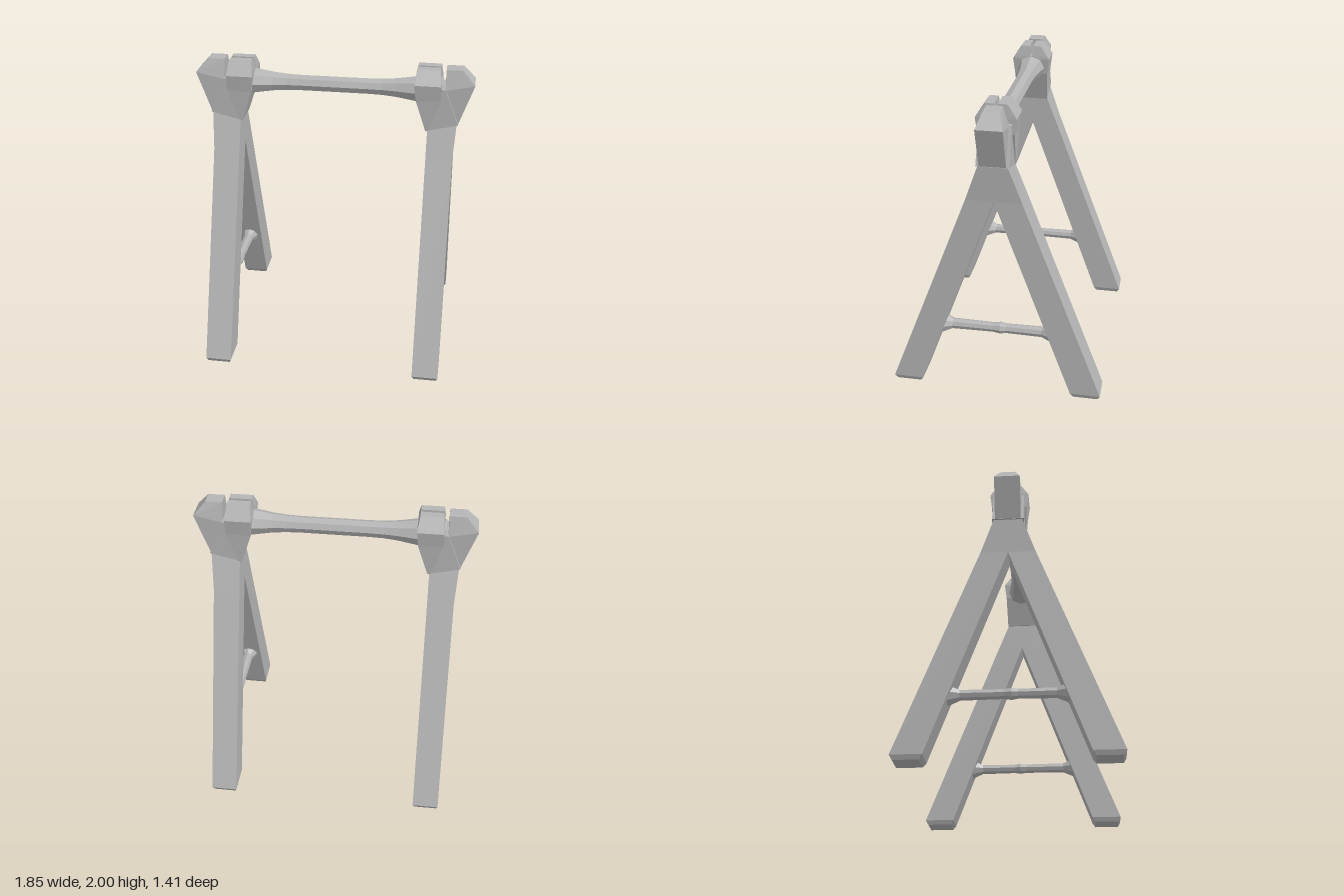
import * as THREE from 'three';

const stone = new THREE.MeshStandardMaterial({ color: 0xb4b4b4 });
stone.name = 'plain grey';

// Closed solid through four-cornered sections [xIn, yIn, xOut, yOut, zBack, zFront], bottom to top
function loft(sections) {
  const pos = [];
  const rings = sections.map(([x0, y0, x1, y1, z0, z1]) => [
    [x0, y0, z1], [x1, y1, z1], [x1, y1, z0], [x0, y0, z0],
  ]);
  const quad = (a, b, c, d) => [a, b, c, a, c, d].forEach((p) => pos.push(...p));
  for (let r = 0; r + 1 < rings.length; r++) {
    for (let i = 0; i < 4; i++) {
      const j = (i + 1) % 4;
      quad(rings[r][i], rings[r][j], rings[r + 1][j], rings[r + 1][i]);
    }
  }
  const [a, b, c, d] = rings[0];
  quad(d, c, b, a);
  quad(...rings[rings.length - 1]);
  const g = new THREE.BufferGeometry();
  g.setAttribute('position', new THREE.Float32BufferAttribute(pos, 3));
  g.computeVertexNormals();
  return g;
}

// Faceted turned bar, profile given as [radius, distance along axis]
function turnedBar(profile) {
  const pts = profile.map(([r, t]) => new THREE.Vector2(r, t));
  const g = new THREE.LatheGeometry(pts, 8).toNonIndexed();
  g.computeVertexNormals();
  return g;
}

function add(parent, name, geometry) {
  const m = new THREE.Mesh(geometry, stone);
  m.name = name;
  parent.add(m);
  return m;
}

// One A-shaped end on the +x side
function makeTrestle() {
  const t = new THREE.Group();

  // Splayed legs with bevelled feet
  const leg = [
    [0.642, 0.0, 0.793, 0.0, 0.525, 0.688],
    [0.63, 0.03, 0.805, 0.03, 0.505, 0.705],
    [0.63, 1.4, 0.805, 1.4, 0, 0.18],
    [0.63, 1.63, 0.822, 1.65, -0.085, 0.09],
  ];
  add(t, 'frontLeg', loft(leg));
  add(t, 'backLeg', loft(leg.map(([a, b, c, d, z0, z1]) => [a, b, c, d, -z1, -z0])));

  // Thin stretcher between the legs
  const s = add(t, 'stretcher', turnedBar([
    [0.07, -0.375], [0.058, -0.35], [0.036, -0.3], [0.033, -0.06], [0.04, -0.02],
    [0.033, 0.03], [0.036, 0.3], [0.058, 0.35], [0.07, 0.375],
  ]));
  s.rotation.x = Math.PI / 2;
  s.position.set(0.717, 0.437, 0);

  // Head: central wedge, outer prong and inner prong
  add(t, 'headWedge', loft([
    [0.62, 1.59, 0.83, 1.64, -0.105, 0.105],
    [0.7, 1.88, 0.738, 1.88, -0.1, 0.1],
  ]));
  add(t, 'outerProng', loft([
    [0.64, 1.595, 0.83, 1.642, -0.085, 0.085],
    [0.735, 1.87, 0.925, 1.91, -0.085, 0.085],
    [0.735, 2.0, 0.845, 2.0, -0.05, 0.05],
  ]));
  add(t, 'innerProng', loft([
    [0.618, 1.588, 0.64, 1.594, -0.108, 0.108],
    [0.548, 1.8, 0.71, 1.81, -0.117, 0.117],
    [0.535, 1.91, 0.71, 1.91, -0.13, 0.13],
    [0.537, 1.93, 0.708, 1.93, -0.117, 0.117],
  ]));
  // Two caps on the inner prong with a narrow groove between
  const cap = [
    [0.537, 1.93, 0.708, 1.93, 0.008, 0.117],
    [0.55, 2.0, 0.7, 2.0, 0.012, 0.07],
  ];
  add(t, 'innerProngFrontCap', loft(cap));
  add(t, 'innerProngBackCap', loft(cap.map(([a, b, c, d, z0, z1]) => [a, b, c, d, -z1, -z0])));
  return t;
}

export function createModel() {
  const model = new THREE.Group();
  model.name = 'trestleStand';

  const left = makeTrestle();
  left.name = 'leftTrestle';
  const right = makeTrestle();
  right.name = 'rightTrestle';
  right.rotation.y = Math.PI;
  model.add(left, right);

  // Crossbar flaring into both heads
  const half = [[0.1, 0.72], [0.098, 0.56], [0.085, 0.49], [0.071, 0.41], [0.062, 0.32], [0.059, 0.22]];
  const profile = [
    ...half.map(([r, x]) => [r, -x]),
    ...half.slice().reverse(),
  ];
  const bar = add(model, 'crossbar', turnedBar(profile));
  bar.rotation.z = Math.PI / 2;
  bar.scale.x = 0.92;
  bar.position.y = 1.843;
  return model;
}
